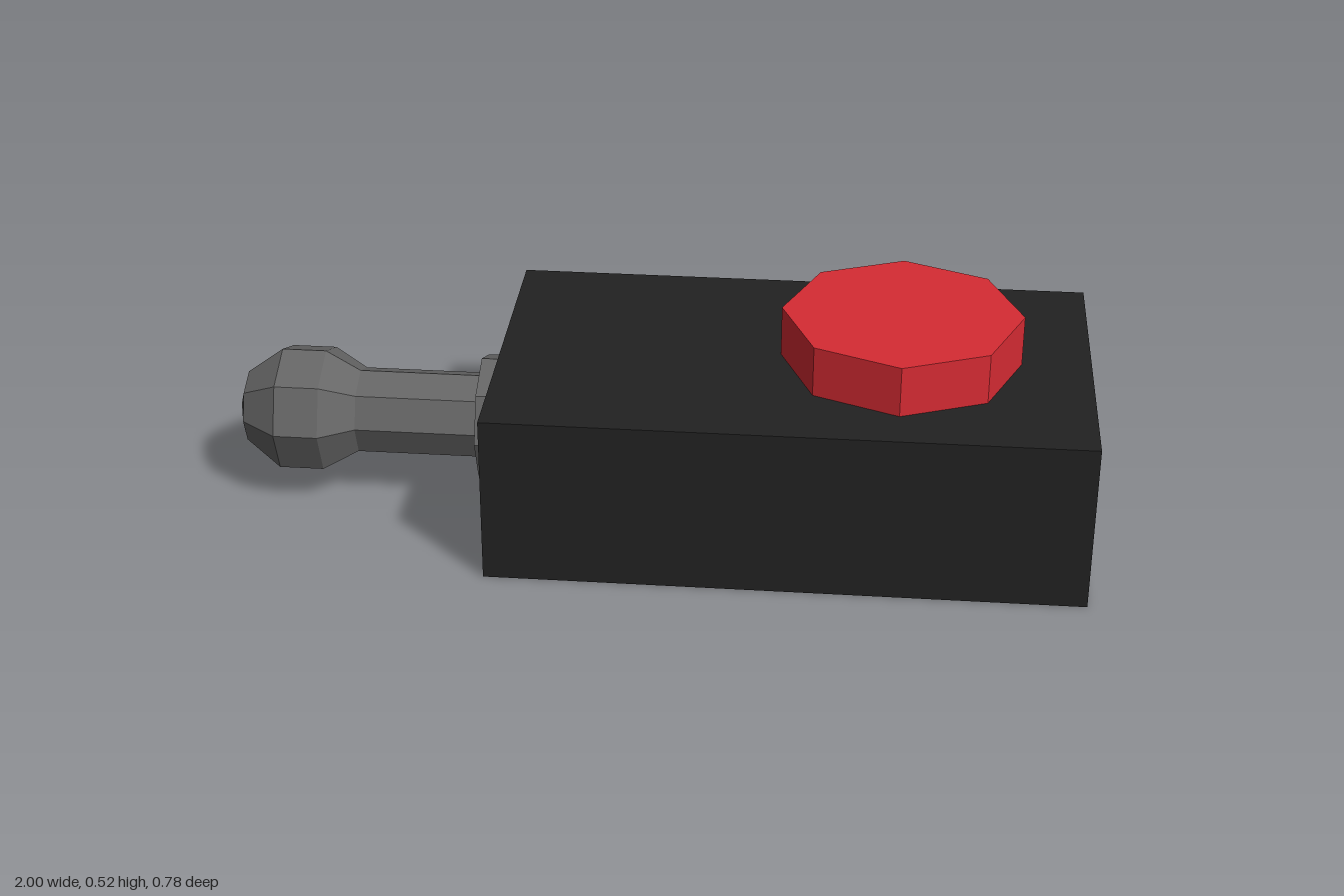
import * as THREE from 'three';

const mat = (color) => new THREE.MeshStandardMaterial({ color, flatShading: true });

function addPart(group, name, geometry, material, x, y, z = 0) {
  const mesh = new THREE.Mesh(geometry, material);
  mesh.name = name;
  mesh.position.set(x, y, z);
  group.add(mesh);
  return mesh;
}

export function createModel() {
  const group = new THREE.Group();
  group.name = 'buttonBoxWithHandle';

  // Rectangular housing
  addPart(group, 'housing', new THREE.BoxGeometry(1.363, 0.4, 0.784), mat(0x222222), 0.3185, 0.2);

  // Eight-sided push button on top
  addPart(group, 'button', new THREE.CylinderGeometry(0.277, 0.277, 0.12, 8), mat(0xd62b33), 0.563, 0.46);

  // Turned handle: collar, shaft and knob, as [distance from housing, radius]
  const profile = [
    [0, 0], [0, 0.15], [0.052, 0.15], [0.052, 0.104],
    [0.343, 0.104], [0.423, 0.152], [0.527, 0.152],
    [0.613, 0.088], [0.637, 0],
  ].map(([h, r]) => new THREE.Vector2(r, h));
  const handle = addPart(group, 'handle', new THREE.LatheGeometry(profile, 8), mat(0x666666), -0.363, 0.204);
  handle.rotation.z = Math.PI / 2;

  return group;
}
